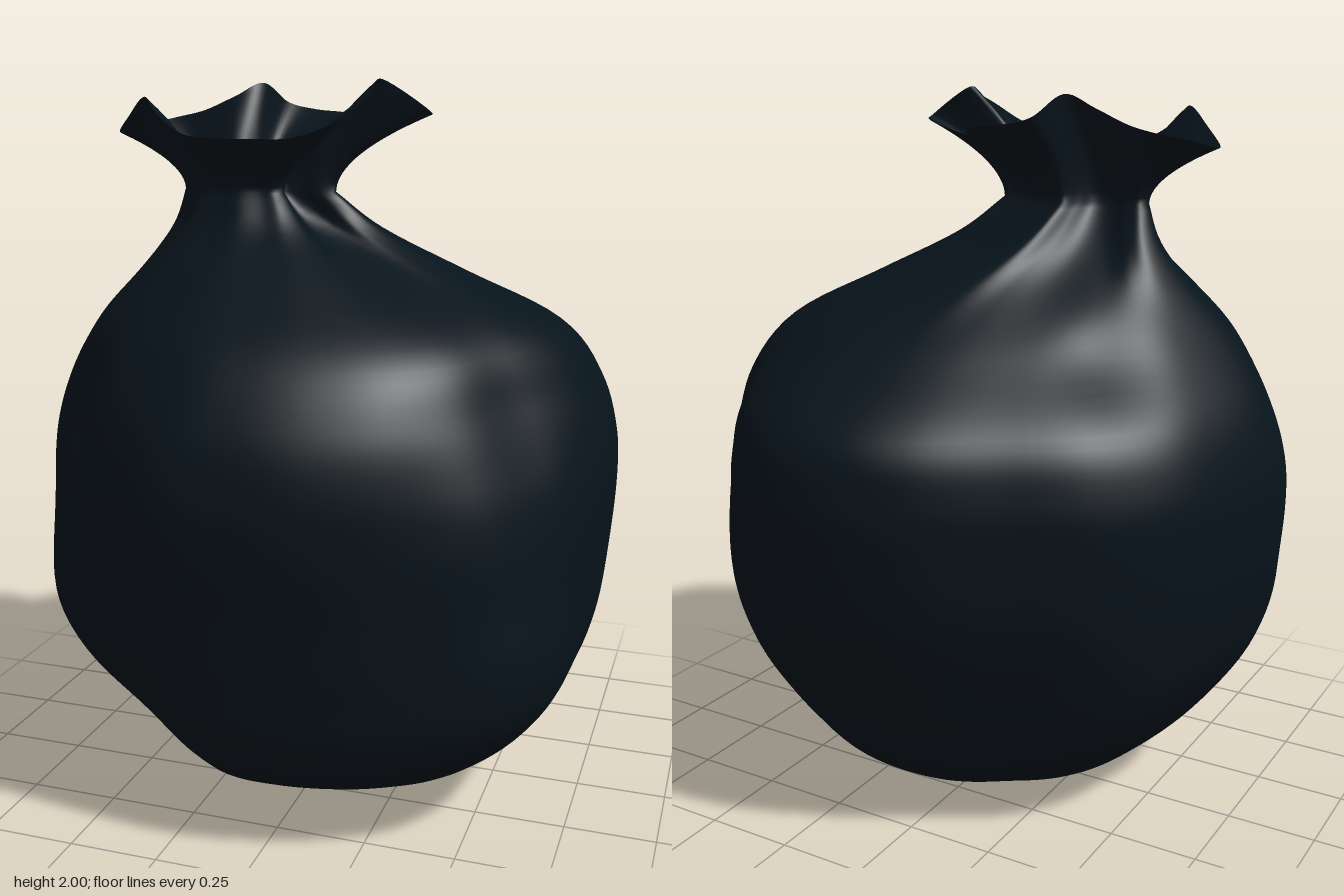
import * as THREE from 'three';

const SEG = 168; // points around each cross-section
const NECK_Y = 1.7;

// Sack silhouette by height: [y, xMin, xMax] and [zMin, zMax]
const WIDTH = [
  [0, -0.02, 0], [0.006, -0.11, 0.09], [0.03, -0.23, 0.21], [0.1, -0.41, 0.39], [0.2, -0.54, 0.58], [0.35, -0.655, 0.7],
  [0.5, -0.73, 0.755], [0.7, -0.785, 0.785], [0.9, -0.81, 0.805], [1.05, -0.8, 0.8], [1.2, -0.745, 0.755],
  [1.35, -0.64, 0.65], [1.48, -0.54, 0.4], [1.6, -0.46, 0.16], [NECK_Y, -0.41, 0.035],
];
const DEPTH = [
  [-0.01, 0.01], [-0.1, 0.1], [-0.22, 0.23], [-0.39, 0.43], [-0.52, 0.61], [-0.63, 0.72], [-0.7, 0.755], [-0.785, 0.79],
  [-0.825, 0.83], [-0.835, 0.835], [-0.79, 0.795], [-0.58, 0.69], [-0.36, 0.5], [-0.16, 0.3], [-0.02, 0.215],
];
// Plan outlines [x, z], from the left side round the front
const BODY = [
  [0.8, -0.02], [0.78, 0.2], [0.72, 0.4], [0.59, 0.6], [0.4, 0.73], [0.2, 0.8], [0, 0.83], [-0.2, 0.82],
  [-0.38, 0.72], [-0.54, 0.58], [-0.69, 0.4], [-0.79, 0.22], [-0.81, 0.08], [-0.77, -0.14], [-0.7, -0.34],
  [-0.57, -0.51], [-0.39, -0.64], [-0.19, -0.77], [0, -0.83], [0.2, -0.82], [0.4, -0.7], [0.57, -0.55],
  [0.71, -0.38], [0.79, -0.2],
];
const NECK = [
  [0.04, 0.1], [0, 0.12], [-0.06, 0.115], [-0.1, 0.13], [-0.08, 0.17], [-0.1, 0.2], [-0.14, 0.205], [-0.2, 0.215],
  [-0.25, 0.2], [-0.29, 0.19], [-0.33, 0.17], [-0.36, 0.13], [-0.41, 0.09], [-0.4, 0.05], [-0.36, 0.05],
  [-0.31, 0.07], [-0.26, 0.06], [-0.23, 0.02], [-0.2, -0.02], [-0.16, 0], [-0.11, 0.03], [-0.06, 0.06],
  [-0.01, 0.07], [0.03, 0.07],
];
// Flared rim [x, y, z]
const RIM = [
  [0.3, 1.92, 0.135], [0.175, 1.995, 0.125], [0.165, 1.97, 0.18], [0.16, 1.945, 0.25], [0.11, 1.89, 0.335],
  [0.02, 1.855, 0.385], [-0.08, 1.85, 0.385], [-0.18, 1.85, 0.385], [-0.28, 1.86, 0.385], [-0.38, 1.91, 0.33],
  [-0.45, 1.95, 0.25], [-0.53, 1.9, 0.18], [-0.595, 1.85, 0.11], [-0.56, 1.87, 0.02], [-0.49, 1.89, -0.05],
  [-0.4, 1.91, -0.04], [-0.3, 1.95, -0.03], [-0.235, 1.985, -0.08], [-0.2, 1.93, -0.19], [-0.12, 1.91, -0.21],
  [-0.01, 1.9, -0.18], [0.05, 1.87, -0.09], [0.13, 1.87, 0.02], [0.28, 1.9, 0.085],
];
// Soft bulges (+) and dents (-): [x, y, z, radius, amount]
const SWELLS = [
  [0.68, 0.45, -0.47, 0.28, 0.06], [0.66, 1.13, -0.46, 0.24, -0.05], [0.45, 0.1, -0.3, 0.2, 0.04],
  [-0.68, 0.55, 0.47, 0.24, 0.08], [-0.66, 1.08, 0.46, 0.18, -0.08], [-0.48, 0.16, 0.4, 0.13, -0.06],
  [0.66, 0.5, 0.46, 0.24, 0.05], [0.62, 1.2, 0.43, 0.28, -0.07], [0.4, 1, 0.7, 0.2, -0.02],
  [-0.62, 0.35, -0.43, 0.25, 0.03], [-0.52, 1.4, -0.36, 0.14, -0.06], [-0.28, 0.36, 0.6, 0.18, -0.03],
];

const spline = (pts, closed) =>
  new THREE.CatmullRomCurve3(pts.map((p) => new THREE.Vector3(...p)), closed, 'catmullrom', 0.5);

// Closed outline sampled to SEG points
function sample(pts) {
  const curve = spline(pts, true);
  return Array.from({ length: SEG }, (_, j) => curve.getPoint(j / SEG));
}

// Plan outline scaled to run from -1 to 1 on both axes
function unitOutline(outline) {
  const pts = sample(outline.map(([x, z]) => [x, 0, z]));
  const box = new THREE.Box3().setFromPoints(pts);
  const mid = box.getCenter(new THREE.Vector3());
  const size = box.getSize(new THREE.Vector3());
  return pts.map((p) => [2 * (p.x - mid.x) / size.x, 2 * (p.z - mid.z) / size.z]);
}

// Skin through rings of equal length, closed underneath by a fan
function loft(rings) {
  const index = [];
  for (let i = 0; i < rings.length - 1; i++) {
    for (let j = 0; j < SEG; j++) {
      const k = (j + 1) % SEG;
      const a = i * SEG + j, b = i * SEG + k, c = a + SEG, d = b + SEG;
      index.push(a, c, b, b, c, d);
    }
  }
  for (let j = 1; j < SEG - 1; j++) index.push(0, j, j + 1);
  const geometry = new THREE.BufferGeometry().setFromPoints(rings.flat());
  geometry.setIndex(index);
  geometry.computeVertexNormals();
  return geometry;
}

function swell(p) {
  let push = 0;
  for (const [x, y, z, r, amount] of SWELLS) {
    const d2 = (p.x - x) ** 2 + (p.y - y) ** 2 + (p.z - z) ** 2;
    push += amount * Math.exp(-d2 / (r * r));
  }
  const radius = Math.hypot(p.x, p.z);
  p.x += push * p.x / radius;
  p.z += push * p.z / radius;
  return p;
}

export function createModel() {
  const rings = [];

  // Rounded sack, its outline gathering into the pleated neck
  const body = unitOutline(BODY), neck = unitOutline(NECK);
  const width = spline(WIDTH), depth = spline(DEPTH.map(([a, b], i) => [WIDTH[i][0], a, b]));
  const steps = 84;
  for (let i = 0; i <= steps; i++) {
    const w = width.getPoint(i / steps), d = depth.getPoint(i / steps);
    const gather = THREE.MathUtils.smoothstep(w.x, 1.3, NECK_Y) ** 1.7;
    rings.push(body.map(([bx, bz], j) => {
      const ux = THREE.MathUtils.lerp(bx, neck[j][0], gather);
      const uz = THREE.MathUtils.lerp(bz, neck[j][1], gather);
      return swell(new THREE.Vector3(
        (w.y + w.z) / 2 + ux * (w.z - w.y) / 2,
        Math.max(w.x, 0),
        (d.y + d.z) / 2 + uz * (d.z - d.y) / 2,
      ));
    }));
  }

  // Ruffled mouth flaring out above the neck
  const rim = sample(RIM);
  const base = rings[rings.length - 1];
  const flare = 16;
  for (let i = 1; i <= flare; i++) {
    const t = i / flare, out = t ** 1.6, up = t ** 0.85;
    rings.push(base.map((p, j) => new THREE.Vector3(
      THREE.MathUtils.lerp(p.x, rim[j].x, out),
      THREE.MathUtils.lerp(p.y, rim[j].y, up),
      THREE.MathUtils.lerp(p.z, rim[j].z, out),
    )));
  }

  const material = new THREE.MeshStandardMaterial({ color: 0x07131b, side: THREE.DoubleSide });
  const sack = new THREE.Mesh(loft(rings), material);
  sack.name = 'gatheredSack';

  const group = new THREE.Group();
  group.name = 'sack';
  group.add(sack);
  return group;
}
